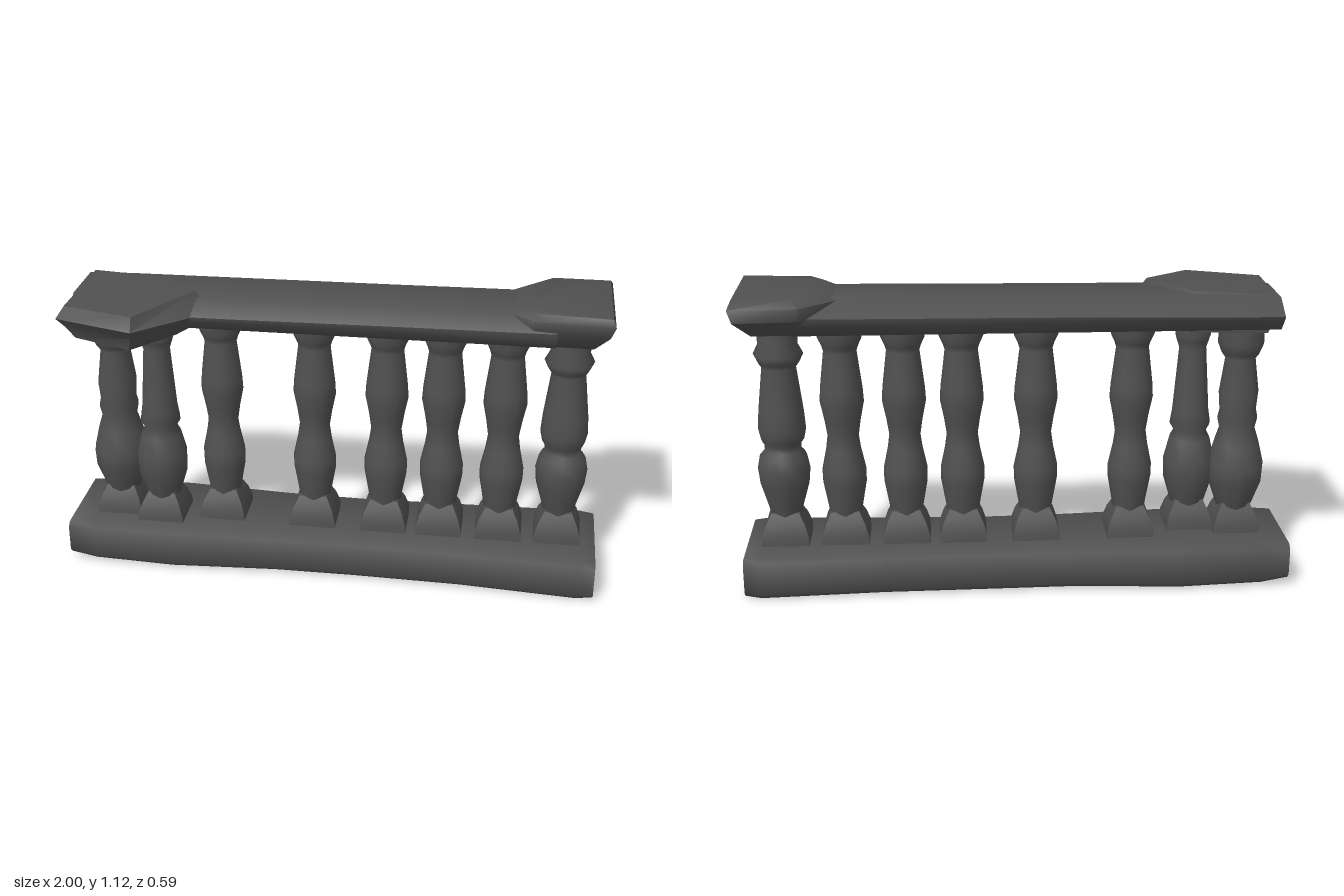
import * as THREE from 'three';
import { toCreasedNormals } from 'three/addons/utils/BufferGeometryUtils.js';

const stone = new THREE.MeshStandardMaterial({ color: 0x505050 });
stone.name = 'darkStone';

// Skin a stack of matching rings and close both ends
function loft(rings, crease = 0.95) {
  const n = rings[0].length, index = [];
  for (let i = 0; i < rings.length - 1; i++) {
    for (let j = 0; j < n; j++) {
      const a = i * n + j, b = i * n + (j + 1) % n;
      index.push(a, b, b + n, a, b + n, a + n);
    }
  }
  const last = (rings.length - 1) * n;
  for (let j = 1; j < n - 1; j++) {
    index.push(0, j + 1, j, last, last + j, last + j + 1);
  }
  const g = new THREE.BufferGeometry();
  g.setAttribute('position', new THREE.Float32BufferAttribute(rings.flat(2), 3));
  g.setIndex(index);
  return toCreasedNormals(g.toNonIndexed(), crease);
}

function add(parent, name, geometry) {
  const mesh = new THREE.Mesh(geometry, stone);
  mesh.name = name;
  parent.add(mesh);
}

// Horizontal outline [x, z] at height y
const layer = (y, outline) => outline.map(([x, z]) => [x, y, z]);

// Worn plinth section: rectangle with bevelled corners
function plinthRing([x, front, back, bottom, top]) {
  const b = 0.018;
  return [
    [x, top, back + b], [x, top, front - b], [x, top - b, front], [x, bottom + b, front],
    [x, bottom, front - b], [x, bottom, back + b], [x, bottom + b, back], [x, top - b, back],
  ];
}

// Handrail section: flat top, sloped shoulders, undercut sides
function railRing([x, front, back, top]) {
  return [
    [x, top, -0.16], [x, top, 0.06], [x, top - 0.05, front], [x, 1.02, front - 0.005],
    [x, 0.97, 0.06], [x, 0.97, -0.19], [x, 1.02, back + 0.005], [x, top - 0.05, back],
  ];
}

// Turned profiles as [radius, y]
const slim = [[0.058, 0.25], [0.064, 0.29], [0.08, 0.38], [0.081, 0.43], [0.064, 0.51], [0.057, 0.56],
  [0.066, 0.62], [0.08, 0.69], [0.077, 0.74], [0.06, 0.88], [0.066, 0.9], [0.08, 0.93], [0.082, 0.99]];
const stout = [[0.055, 0.25], [0.064, 0.29], [0.09, 0.38], [0.096, 0.44], [0.086, 0.49], [0.067, 0.512],
  [0.067, 0.535], [0.078, 0.55], [0.087, 0.59], [0.082, 0.66], [0.062, 0.825], [0.076, 0.845],
  [0.09, 0.875], [0.072, 0.91], [0.076, 0.99]];
const bulbous = [[0.06, 0.24], [0.07, 0.27], [0.102, 0.36], [0.105, 0.42], [0.085, 0.5], [0.066, 0.56],
  [0.075, 0.6], [0.068, 0.63], [0.074, 0.7], [0.056, 0.83], [0.07, 0.85], [0.086, 0.89], [0.08, 0.99]];
const tapered = [[0.058, 0.24], [0.07, 0.28], [0.094, 0.36], [0.096, 0.43], [0.076, 0.51], [0.06, 0.54],
  [0.076, 0.57], [0.068, 0.62], [0.05, 0.86], [0.06, 0.89], [0.066, 0.91], [0.066, 0.99]];

// Flared square foot under each baluster
function footGeometry() {
  return loft([[0.14, 0.088], [0.19, 0.086], [0.235, 0.072], [0.275, 0.052]].map(([y, h]) =>
    layer(y, [[-h, h], [h, h], [h, -h], [-h, -h]])));
}

export function createModel() {
  const model = new THREE.Group();
  model.name = 'stoneBalustrade';

  // Plinth, slightly uneven along its length
  add(model, 'plinth', loft([
    [-1, 0.135, -0.245, 0.028, 0.162], [-0.9, 0.14, -0.25, 0.012, 0.168], [-0.6, 0.142, -0.255, 0.003, 0.168],
    [-0.2, 0.125, -0.24, 0.008, 0.162], [0.1, 0.118, -0.238, 0.004, 0.16], [0.5, 0.13, -0.25, 0.006, 0.16],
    [0.94, 0.154, -0.265, 0, 0.16], [1, 0.154, -0.262, 0.01, 0.152],
  ].map(plinthRing)));

  // Handrail
  add(model, 'handrail', loft([
    [-0.93, 0.08, -0.245, 1.08], [-0.78, 0.12, -0.262, 1.085], [-0.35, 0.125, -0.248, 1.088],
    [0.2, 0.12, -0.25, 1.092], [0.8, 0.125, -0.26, 1.098],
  ].map(railRing)));

  // Angled cap that swings forward at the right-hand end
  add(model, 'cornerCap', loft([
    layer(0.95, [[-0.89, -0.16], [-0.9, 0.16], [-0.68, 0.245], [-0.55, 0.08], [-0.62, -0.14]]),
    layer(1.0, [[-0.91, -0.17], [-0.93, 0.18], [-0.67, 0.262], [-0.46, 0.065], [-0.6, -0.14]]),
    layer(1.035, [[-0.92, -0.17], [-0.955, 0.2], [-0.66, 0.292], [-0.43, 0.07], [-0.6, -0.12]]),
    [[-0.91, 1.09, -0.16], [-0.925, 1.08, 0.185], [-0.66, 1.085, 0.268], [-0.48, 1.108, 0.045], [-0.62, 1.095, -0.11]],
  ]));

  // Straight cap at the left-hand end
  add(model, 'endCap', loft([
    layer(0.975, [[0.72, 0.04], [0.76, 0.06], [0.93, 0.065], [0.93, -0.2], [0.78, -0.2], [0.72, -0.15]]),
    layer(1.045, [[0.64, 0.06], [0.72, 0.115], [0.98, 0.13], [0.98, -0.295], [0.76, -0.285], [0.64, -0.17]]),
    layer(1.09, [[0.635, 0.06], [0.72, 0.125], [0.995, 0.147], [0.995, -0.293], [0.76, -0.283], [0.635, -0.17]]),
    layer(1.115, [[0.69, 0.05], [0.74, 0.11], [0.985, 0.13], [0.985, -0.25], [0.78, -0.25], [0.69, -0.16]]),
  ]));

  // Balusters with their feet: x, z, profile
  const foot = footGeometry();
  [
    [-0.82, -0.045, bulbous], [-0.65, -0.005, tapered], [-0.42, -0.06, slim], [-0.07, -0.06, slim],
    [0.2, -0.06, slim], [0.41, -0.06, slim], [0.635, -0.06, slim], [0.855, -0.062, stout],
  ].forEach(([x, z, profile], i) => {
    const baluster = new THREE.Group();
    baluster.name = 'baluster' + (i + 1);
    baluster.position.set(x, 0, z);
    add(baluster, 'foot', foot);
    add(baluster, 'shaft', new THREE.LatheGeometry(profile.map(([r, y]) => new THREE.Vector2(r, y)), 12));
    model.add(baluster);
  });

  return model;
}
